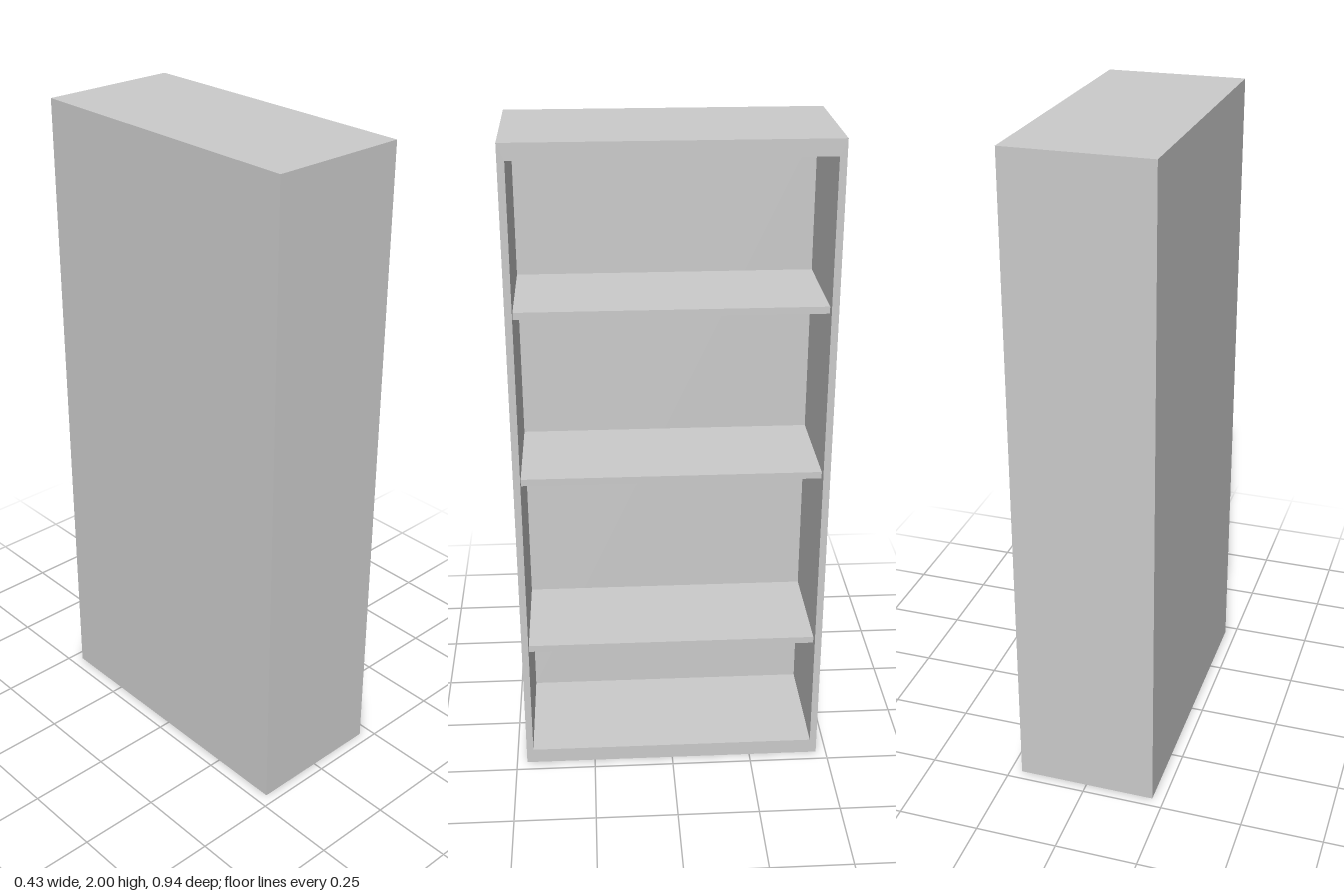
import * as THREE from 'three';

// Overall size: the open side faces +x
const DEPTH = 0.428, HEIGHT = 2, WIDTH = 0.936;
const SIDE = 0.021, SLAB = 0.048, BACK = 0.053;
const SHELF = 0.021, RECESS = 0.03;

export function createModel() {
  const group = new THREE.Group();
  const material = new THREE.MeshStandardMaterial({ color: 0xcccccc });

  // Box given by its x range, y range and z range
  const board = (name, [x0, x1], [y0, y1], [z0, z1]) => {
    const mesh = new THREE.Mesh(new THREE.BoxGeometry(x1 - x0, y1 - y0, z1 - z0), material);
    mesh.position.set((x0 + x1) / 2, (y0 + y1) / 2, (z0 + z1) / 2);
    mesh.name = name;
    group.add(mesh);
  };

  // Carcass: one rectangular frame with an opening, extruded along x
  const w = WIDTH / 2, iw = w - SIDE;
  const backX = -DEPTH / 2 + BACK, frontX = DEPTH / 2;
  const rectangle = (shape, hw, y0, y1) =>
    shape.moveTo(-hw, y0).lineTo(hw, y0).lineTo(hw, y1).lineTo(-hw, y1).closePath();
  const outline = rectangle(new THREE.Shape(), w, 0, HEIGHT);
  outline.holes.push(rectangle(new THREE.Path(), iw, SLAB, HEIGHT - SLAB));
  const frameGeometry = new THREE.ExtrudeGeometry(outline, { depth: DEPTH - BACK, bevelEnabled: false });
  frameGeometry.rotateY(Math.PI / 2).translate(backX, 0, 0);
  const frame = new THREE.Mesh(frameGeometry, material);
  frame.name = 'frame';
  group.add(frame);

  // Back panel closing the frame
  board('backPanel', [-DEPTH / 2, backX], [0, HEIGHT], [-w, w]);

  // Shelves, set back from the opening
  [0.4, 0.978, 1.497].forEach((y, i) =>
    board(`shelf${i + 1}`, [backX, frontX - RECESS], [y, y + SHELF], [-iw, iw]));

  return group;
}
